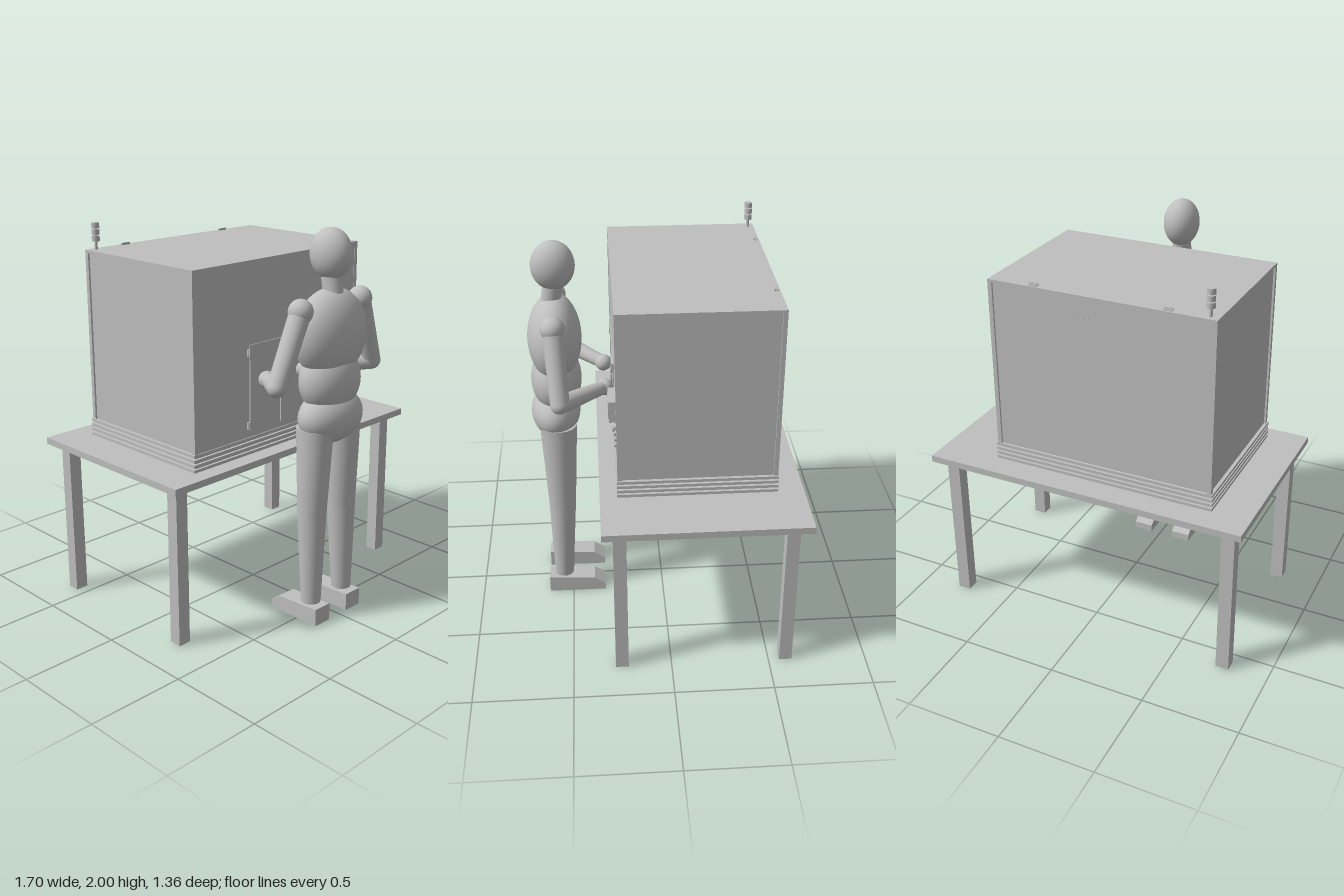
import * as THREE from 'three';

export function createModel() {
  const model = new THREE.Group();
  const grey = new THREE.MeshStandardMaterial({ color: 0xbfbfbf });
  grey.name = 'neutral grey';
  const V = (x, y, z) => new THREE.Vector3(x, y, z);

  function group(name) {
    const g = new THREE.Group();
    g.name = name;
    model.add(g);
    return g;
  }
  function add(parent, name, geometry, position) {
    const m = new THREE.Mesh(geometry, grey);
    m.name = name;
    if (position) m.position.copy(position);
    parent.add(m);
    return m;
  }
  // Box given by its limits on each axis
  function box(parent, name, x0, x1, y0, y1, z0, z1) {
    return add(parent, name, new THREE.BoxGeometry(x1 - x0, y1 - y0, z1 - z0),
      V((x0 + x1) / 2, (y0 + y1) / 2, (z0 + z1) / 2));
  }
  // Tapered cylinder between two points
  function limb(parent, name, a, b, ra, rb) {
    const d = b.clone().sub(a);
    const m = add(parent, name, new THREE.CylinderGeometry(rb, ra, d.length(), 32), a.clone().lerp(b, 0.5));
    m.quaternion.setFromUnitVectors(V(0, 1, 0), d.normalize());
    return m;
  }
  function ball(parent, name, c, r) {
    return add(parent, name, new THREE.SphereGeometry(r, 32, 20), c);
  }
  // Ellipsoid cut flat at y0 and y1
  function ovalBody(parent, name, c, rx, ry, rz, y0, y1) {
    const pts = [];
    const a0 = Math.asin(Math.max(-1, (y0 - c.y) / ry));
    const a1 = Math.asin(Math.min(1, (y1 - c.y) / ry));
    for (let i = 0; i <= 24; i++) {
      const a = a0 + (a1 - a0) * i / 24;
      pts.push(new THREE.Vector2(Math.max(0, Math.cos(a)), Math.sin(a) * ry));
    }
    const m = add(parent, name, new THREE.LatheGeometry(pts, 48), c);
    m.scale.set(rx, 1, rz);
    // Flat ends
    for (const [a, dir] of [[a0, 1], [a1, -1]]) {
      if (Math.cos(a) < 0.01) continue;
      const cap = add(parent, name + 'End', new THREE.CircleGeometry(Math.cos(a), 48), V(c.x, c.y + Math.sin(a) * ry, c.z));
      cap.rotation.x = dir * Math.PI / 2;
      cap.scale.set(rx, rz, 1);
    }
    return m;
  }
  // Oval tapered segment: rings are [x, y, z, rx, rz]
  function ovalSegment(parent, name, bottom, top) {
    const geo = new THREE.CylinderGeometry(1, 1, 1, 32);
    const p = geo.attributes.position;
    for (let i = 0; i < p.count; i++) {
      const r = p.getY(i) < 0 ? bottom : top;
      p.setXYZ(i, r[0] + p.getX(i) * r[3], r[1], r[2] + p.getZ(i) * r[4]);
    }
    geo.computeVertexNormals();
    return add(parent, name, geo);
  }

  // Table
  const table = group('table');
  box(table, 'tableTop', -0.85, 0.85, 0.825, 0.86, -0.68, 0.34);
  for (const x of [-0.8, 0.73])
    for (const z of [-0.62, 0.22]) box(table, 'tableLeg', x, x + 0.068, 0, 0.825, z, z + 0.065);

  // Cabinet: core, frame and front panel
  const cabinet = group('cabinet');
  const [X0, X1, Z0, Z1, Y0, Y1] = [-0.645, 0.525, -0.545, 0.25, 0.95, 1.84];
  const w = 0.022, inset = 0.01;
  box(cabinet, 'cabinetCore', X0 + inset, X1 - inset, Y0, Y1 - 0.005, Z0 + inset, Z1 - inset);
  box(cabinet, 'frontPanel', X0 + w, X1 - w, Y0, Y1 - 0.015, Z1 - inset, Z1 - 0.002);
  box(cabinet, 'topPanel', X0, X1, Y1 - 0.015, Y1, Z0, Z1);
  for (const x of [X0, X1 - w])
    for (const z of [Z0, Z1 - w]) box(cabinet, 'cornerPost', x, x + w, Y0, Y1 - 0.015, z, z + w);

  // Grooved base beams
  const base = group('base');
  box(base, 'baseCore', X0 + 0.01, X1 - 0.01, 0.86, 0.95, Z0 + 0.01, Z1 - 0.01);
  for (let i = 0; i < 4; i++) {
    const y = 0.86 + i * 0.025;
    box(base, 'baseLip', -0.652, 0.532, y, y + 0.015, -0.548, 0.253);
  }

  // Signal tower and hinges on top
  const tower = group('signalTower');
  limb(tower, 'towerPole', V(-0.6, 1.84, -0.513), V(-0.6, 1.975, -0.513), 0.008, 0.008);
  for (let i = 0; i < 3; i++) {
    const y = 1.882 + i * 0.033;
    limb(tower, 'towerLamp', V(-0.6, y, -0.513), V(-0.6, y + 0.027, -0.513), 0.02, 0.02);
  }
  for (const x of [-0.403, 0.283]) {
    box(cabinet, 'topBracket', x - 0.022, x + 0.022, 1.84, 1.852, -0.523, -0.517);
    box(cabinet, 'topBracket', x - 0.022, x + 0.022, 1.84, 1.848, -0.536, -0.529);
  }
  for (const x of [-0.005, 0.02, 0.045]) box(cabinet, 'backStud', x - 0.004, x + 0.004, 1.725, 1.733, -0.54, -0.53);

  // Door and its fittings
  const door = group('door');
  box(door, 'doorLeaf', -0.275, -0.06, 0.985, 1.425, 0.24, 0.253);
  box(door, 'doorLeaf', -0.054, 0.16, 0.985, 1.425, 0.24, 0.253);
  for (const y of [1.37, 0.995]) {
    box(door, 'doorHinge', -0.292, -0.287, y, y + 0.035, 0.24, 0.258);
    box(door, 'doorHinge', -0.281, -0.276, y, y + 0.035, 0.24, 0.258);
  }
  box(door, 'doorLatch', 0.13, 0.205, 1.39, 1.435, 0.24, 0.262);
  for (const x of [-0.09, -0.025]) limb(door, 'doorHandle', V(x, 1.16, 0.258), V(x, 1.26, 0.258), 0.006, 0.006);

  // Control panel
  const controls = group('controls');
  box(controls, 'screenHousing', 0.32, 0.475, 1.255, 1.365, 0.24, 0.283);
  box(controls, 'screenFace', 0.335, 0.46, 1.268, 1.352, 0.28, 0.286);
  limb(controls, 'stopButtonStem', V(0.395, 1.185, 0.24), V(0.395, 1.185, 0.256), 0.014, 0.014);
  limb(controls, 'stopButton', V(0.395, 1.185, 0.256), V(0.395, 1.185, 0.266), 0.023, 0.021);
  for (const x of [0.339, 0.395, 0.451]) limb(controls, 'pushButton', V(x, 1.117, 0.24), V(x, 1.117, 0.258), 0.012, 0.012);

  // Standing mannequin, facing the cabinet
  const man = group('mannequin');
  const cx = -0.013;
  ball(man, 'head', V(cx, 1.875, 0.532), 1).scale.set(0.093, 0.125, 0.11);
  limb(man, 'neck', V(cx, 1.67, 0.553), V(cx, 1.79, 0.533), 0.05, 0.05);
  ovalBody(man, 'chest', V(cx, 1.49, 0.54), 0.22, 0.225, 0.137, 1.35, 1.715);
  ovalBody(man, 'waist', V(cx, 1.26, 0.541), 0.178, 0.175, 0.13, 1.165, 1.36);
  ovalBody(man, 'pelvis', V(cx, 1.078, 0.551), 0.197, 0.138, 0.127, 0.94, 1.168);

  // Foot outline, toe towards the cabinet
  const footShape = new THREE.Shape([[0.63, 0], [0.63, 0.092], [0.38, 0.08], [0.322, 0.04], [0.322, 0]]
    .map(([z, y]) => new THREE.Vector2(-z, y)));
  const footGeo = new THREE.ExtrudeGeometry(footShape, { depth: 0.106, bevelEnabled: false });
  footGeo.translate(0, 0, -0.053);
  footGeo.rotateY(Math.PI / 2);

  for (const s of [-1, 1]) {
    const ankle = [cx + s * 0.119, 0.1, 0.548, 0.051, 0.051];
    const knee = [cx + s * 0.112, 0.57, 0.539, 0.075, 0.072];
    const hip = [cx + s * 0.101, 1.035, 0.54, 0.09, 0.096];
    ovalSegment(man, 'lowerLeg', ankle, knee);
    ovalSegment(man, 'upperLeg', knee, hip);
    add(man, 'foot', footGeo, V(cx + s * 0.119, 0, 0));
  }

  // Arms: shoulder, elbow and hand joints
  const arms = [
    [V(-0.23, 1.63, 0.54), V(-0.402, 1.3, 0.553), V(-0.198, 1.243, 0.295)],
    [V(0.202, 1.63, 0.54), V(0.335, 1.285, 0.518), V(0.075, 1.24, 0.295)],
  ];
  for (const [shoulder, elbow, hand] of arms) {
    ball(man, 'shoulder', shoulder, 0.061);
    limb(man, 'upperArm', shoulder, elbow, 0.053, 0.048);
    ball(man, 'elbow', elbow, 0.048);
    limb(man, 'forearm', elbow, hand, 0.047, 0.034);
    ball(man, 'hand', hand, 0.044);
  }
  return model;
}
